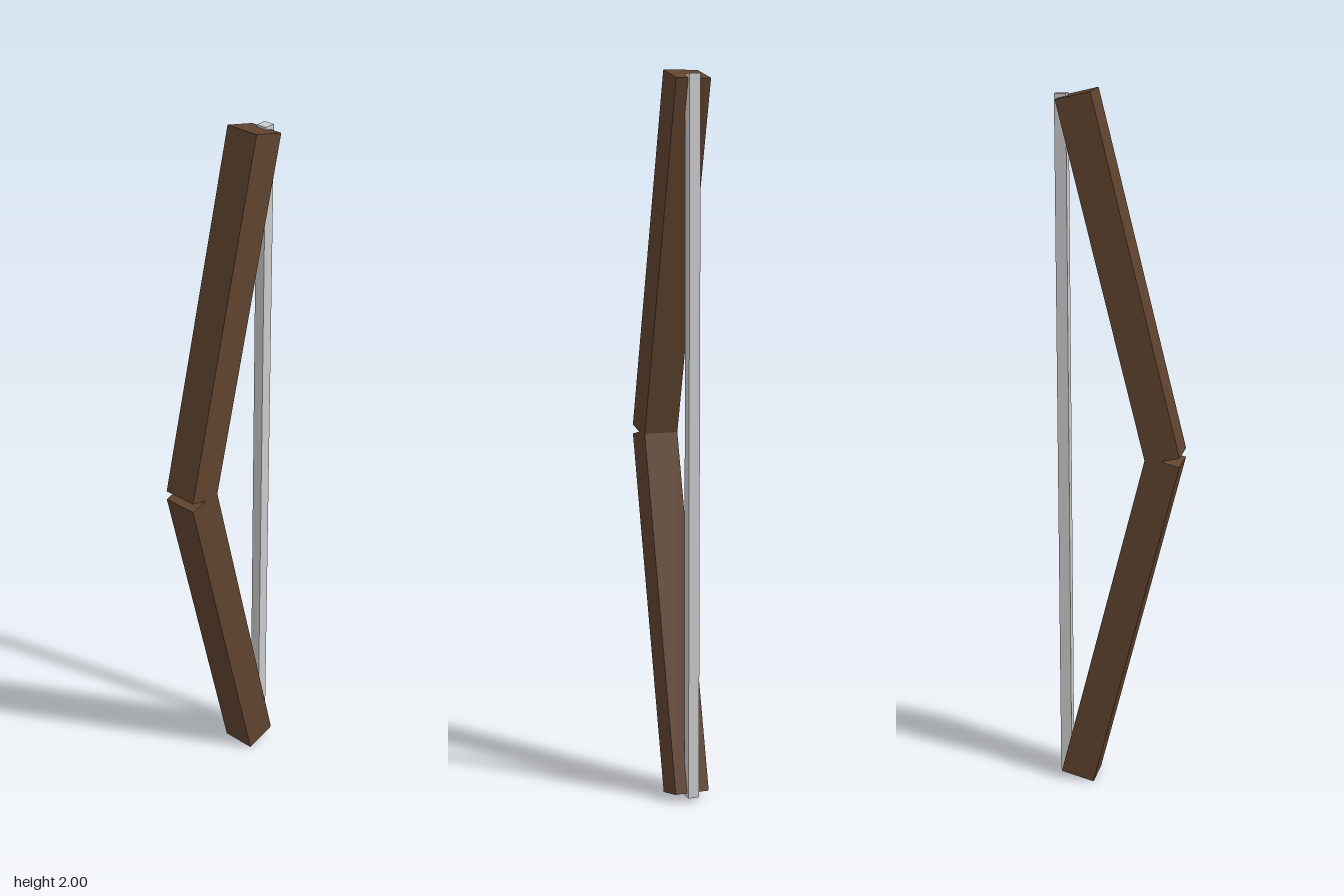
import * as THREE from 'three';

export function createModel() {
  const model = new THREE.Group();
  const wood = new THREE.MeshStandardMaterial({ color: 0x5f432e });
  const cord = new THREE.MeshStandardMaterial({ color: 0xcccccc });

  // Two straight limbs, mirrored about mid height and meeting at the front
  const limbGeometry = new THREE.BoxGeometry(0.098, 1.017, 0.098);
  const tilt = THREE.MathUtils.degToRad(14);
  for (const [name, side] of [['upperLimb', 1], ['lowerLimb', -1]]) {
    const limb = new THREE.Mesh(limbGeometry, wood);
    limb.name = name;
    limb.position.set(0, 1 + side * 0.4945, 0.004);
    limb.rotation.x = -side * tilt;
    model.add(limb);
  }

  // Square string joining the limb tips at the back
  const string = new THREE.Mesh(new THREE.BoxGeometry(0.031, 1.975, 0.032), cord);
  string.name = 'bowString';
  string.position.set(0, 1, -0.161);
  model.add(string);

  return model;
}
